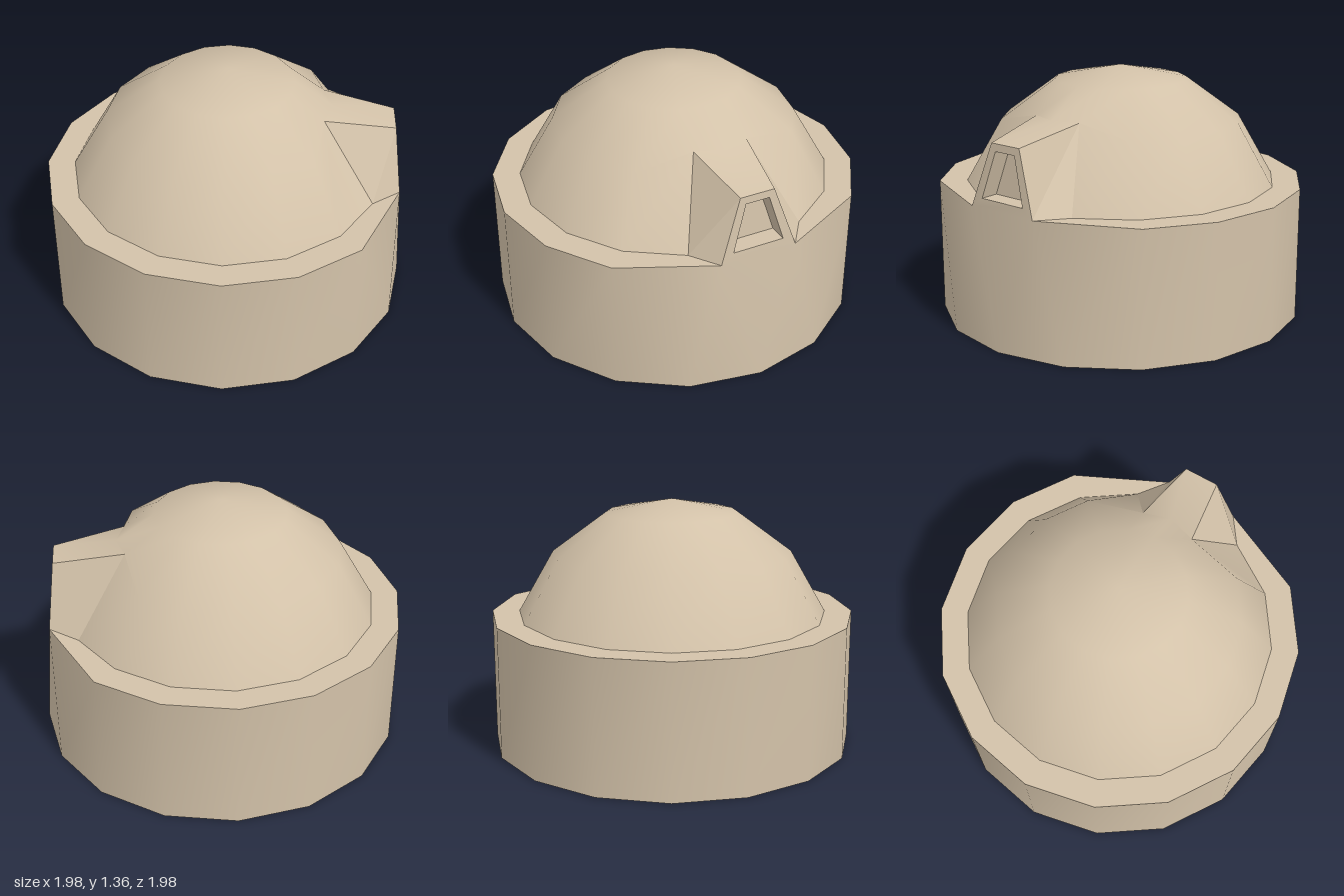
import * as THREE from 'three';
import { toCreasedNormals } from 'three/addons/utils/BufferGeometryUtils.js';

const SIDES = 16;
const WALL_TOP = 0.73;

// Point on a 16-sided ring; k = 0 is the corner in the middle of the dormer
function ringPoint(k, radius, y) {
  const a = THREE.MathUtils.degToRad(7.5 + (k * 360) / SIDES);
  return [radius * Math.cos(a), y, radius * Math.sin(a)];
}

// Fan-triangulate convex faces (corners counter-clockwise from outside)
function facesToGeometry(faces, creaseDegrees) {
  const pos = [];
  for (const f of faces) {
    for (let i = 1; i < f.length - 1; i++) pos.push(...f[0], ...f[i], ...f[i + 1]);
  }
  const g = new THREE.BufferGeometry();
  g.setAttribute('position', new THREE.Float32BufferAttribute(pos, 3));
  g.computeVertexNormals();
  return creaseDegrees ? toCreasedNormals(g, THREE.MathUtils.degToRad(creaseDegrees)) : g;
}

export function createModel() {
  const group = new THREE.Group();
  const sandstone = new THREE.MeshStandardMaterial({ color: 0xd3c2a9, side: THREE.DoubleSide });
  sandstone.name = 'sandstone';

  const add = (name, faces, crease) => {
    const mesh = new THREE.Mesh(facesToGeometry(faces, crease), sandstone);
    mesh.name = name;
    group.add(mesh);
  };

  const bottom = (k) => ringPoint(k, 1, 0);
  const top = (k) => ringPoint(k, 1, WALL_TOP);
  const domeBase = (k) => ringPoint(k, 0.85, WALL_TOP);

  // Leaning front plane of the dormer
  const front = (y, z) => [0.949 - 0.143 * z - 0.11 * (y - WALL_TOP), y, z];
  const outer = [front(WALL_TOP, 0.34), front(WALL_TOP, -0.08), front(1.07, 0.03), front(1.07, 0.22)];
  const [footL, footR, eaveR, eaveL] = outer;
  const hole = [front(0.78, 0.27), front(0.78, -0.01), front(1.03, 0.06), front(1.03, 0.19)];
  const back = hole.map(([x, y, z]) => [x - 0.1, y, z - 0.014]);

  // Where the dormer roof meets the dome
  const roofR = [0.535, 1.14, -0.08];
  const roofMid = [0.56, 1.14, 0.073];
  const roofL = [0.49, 1.14, 0.22];

  // Round wall, open below, with its corners drawn in under the dormer
  const wall = [];
  for (let k = 2; k < 14; k++) wall.push([bottom(k + 1), bottom(k), top(k), top(k + 1)]);
  wall.push(
    [bottom(-1), bottom(-2), top(-2)],
    [bottom(-1), top(-2), footR],
    [bottom(0), bottom(-1), footR],
    [bottom(0), footR, footL],
    [bottom(1), bottom(0), footL],
    [bottom(1), footL, top(2)],
    [bottom(2), bottom(1), top(2)],
  );
  // Dormer front continues the wall as a frame around the window
  for (let i = 0; i < 4; i++) {
    const j = (i + 1) % 4;
    wall.push([outer[i], outer[j], hole[j], hole[i]]);
  }
  add('wallAndDormerFront', wall, 35);

  // Flat ledge between wall and dome, interrupted by the dormer
  const ledge = [];
  for (let k = 2; k < 14; k++) ledge.push([top(k), domeBase(k), domeBase(k + 1), top(k + 1)]);
  ledge.push([top(-2), domeBase(-2), domeBase(-1), footR]);
  ledge.push([footL, domeBase(1), domeBase(2), top(2)]);
  add('ledge', ledge);

  // Dome, with the lower ring bent to the dormer roof
  const profile = [[0.85, WALL_TOP], [0.655, 1.07], [0.36, 1.287]];
  const apex = [0, 1.36, 0];
  const bent = { '-1': roofR, 0: roofMid, 1: roofL };
  const domePoint = (k, i) => (i === 1 && bent[k]) || ringPoint(k, ...profile[i]);
  const dome = [];
  for (let k = -2; k < 14; k++) {
    for (let i = 0; i < 2; i++) {
      if (i === 0 && (k === -1 || k === 0)) continue;
      dome.push([domePoint(k + 1, i), domePoint(k, i), domePoint(k, i + 1), domePoint(k + 1, i + 1)]);
    }
    dome.push([domePoint(k + 1, 2), domePoint(k, 2), apex]);
  }
  // Dormer roof flows into the dome
  dome.push([eaveR, roofR, roofMid], [eaveR, roofMid, eaveL], [eaveL, roofMid, roofL]);
  add('domeAndDormerRoof', dome, 40);

  // Slanted dormer cheeks
  add('dormerSides', [
    [footR, domeBase(-1), roofR, eaveR],
    [domeBase(1), footL, eaveL, roofL],
  ]);

  // Recessed window
  const recess = [back];
  for (let i = 0; i < 4; i++) {
    const j = (i + 1) % 4;
    recess.push([hole[i], hole[j], back[j], back[i]]);
  }
  add('windowRecess', recess);

  return group;
}
